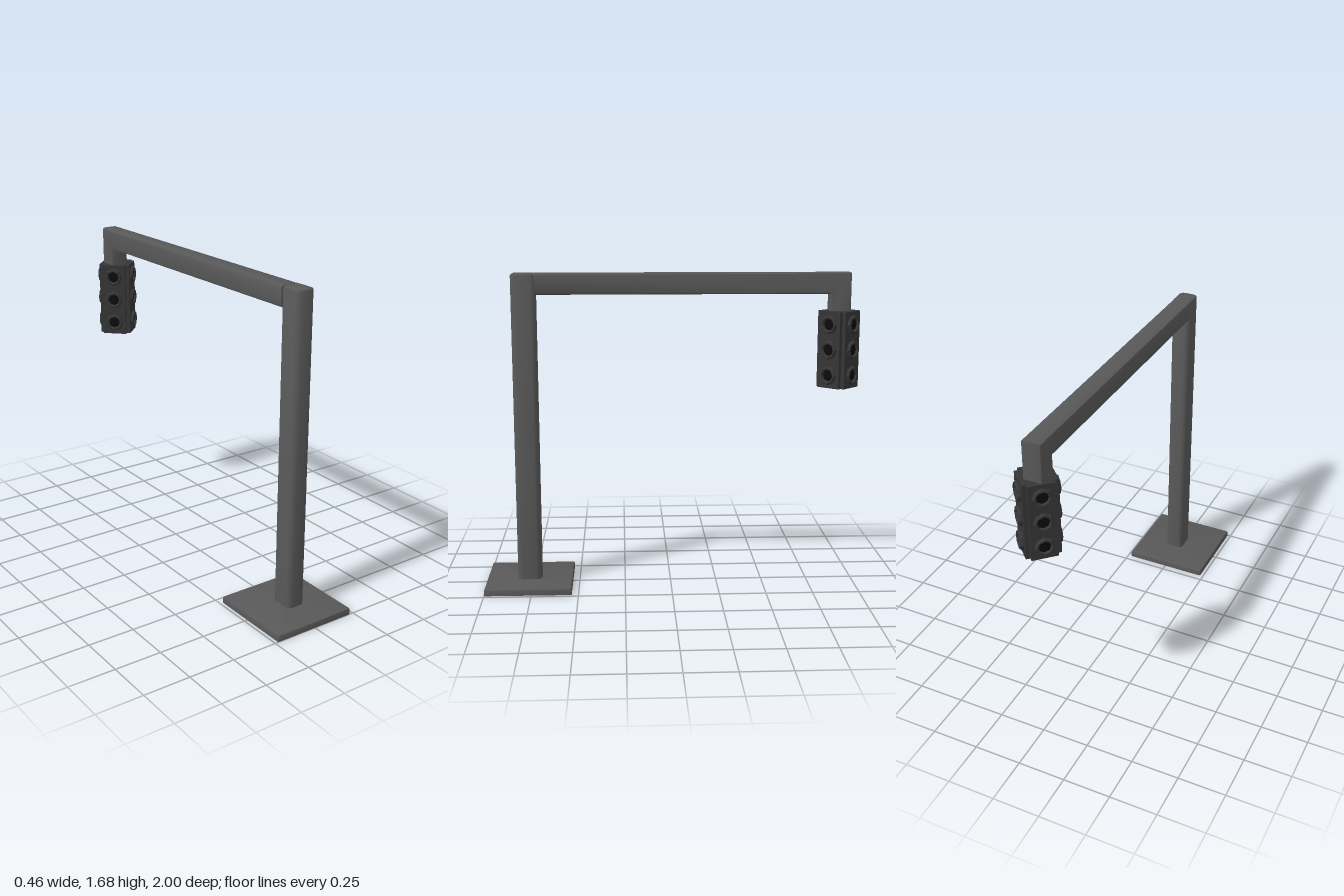
import * as THREE from 'three';
import { toCreasedNormals } from 'three/addons/utils/BufferGeometryUtils.js';

const POLE_X = 0.018;
const paint = (color) => new THREE.MeshStandardMaterial({ color });
const steel = paint(0x585858), housing = paint(0x363636), glass = paint(0x0b0b0b);

// Counter-clockwise rectangle outline with rounded corners
function roundRect(hw, hh, r, steps = 3) {
  const pts = [];
  [[1, 1], [-1, 1], [-1, -1], [1, -1]].forEach(([sx, sy], c) => {
    for (let i = 0; i <= steps; i++) {
      const t = (c + i / steps) * Math.PI / 2;
      pts.push([sx * (hw - r) + r * Math.cos(t), sy * (hh - r) + r * Math.sin(t)]);
    }
  });
  return pts;
}

// Closed solid through a list of matching rings
function loft(rings) {
  const n = rings[0].length, pos = [], idx = [];
  rings.forEach((ring) => ring.forEach((p) => pos.push(...p)));
  for (let k = 0; k < rings.length - 1; k++) {
    for (let i = 0; i < n; i++) {
      const j = (i + 1) % n, a = k * n, b = a + n;
      idx.push(a + i, a + j, b + j, a + i, b + j, b + i);
    }
  }
  const top = (rings.length - 1) * n;
  for (let i = 1; i < n - 1; i++) {
    idx.push(0, i + 1, i, top, top + i, top + i + 1);
  }
  const g = new THREE.BufferGeometry();
  g.setAttribute('position', new THREE.Float32BufferAttribute(pos, 3));
  g.setIndex(idx);
  return toCreasedNormals(g, 0.6);
}

// Upright bar with a softened top edge
function upright(hw, hd, r, y0, y1, bevel) {
  const ring = (inset, y) =>
    roundRect(hw - inset, hd - inset, Math.max(r - inset, 0.004)).map(([u, v]) => [u, y, -v]);
  return loft([ring(0, y0), ring(0, y1 - bevel), ring(bevel * 0.3, y1 - bevel * 0.3), ring(bevel, y1)]);
}

function add(parent, name, geometry, material, x = 0, y = 0, z = 0) {
  const mesh = new THREE.Mesh(geometry, material);
  mesh.name = name;
  mesh.position.set(x, y, z);
  parent.add(mesh);
  return mesh;
}

// Signal head: stepped cross-shaped body with three lamps on each of four faces
function createSignalHead() {
  const head = new THREE.Group();
  head.name = 'signalHead';
  const a = 0.087, b = 0.066, height = 0.405;
  const outline = [[a, -b], [a, b], [b, b], [b, a], [-b, a], [-b, b],
    [-a, b], [-a, -b], [-b, -b], [-b, -a], [b, -a], [b, -b]];
  const body = new THREE.ExtrudeGeometry(
    new THREE.Shape(outline.map(([x, y]) => new THREE.Vector2(x, y))),
    { depth: height, bevelEnabled: false });
  body.rotateX(-Math.PI / 2);
  add(head, 'signalBody', body, housing);

  // Octagonal lamp rim, with its axis turned to face outward
  const profile = [[0.05, -0.002], [0.05, 0.006], [0.044, 0.015], [0.036, 0.015], [0.03, 0.002]];
  const rim = toCreasedNormals(
    new THREE.LatheGeometry(profile.map(([x, y]) => new THREE.Vector2(x, y)), 8).rotateX(Math.PI / 2), 0.5);
  const lens = new THREE.CircleGeometry(0.033, 8);

  for (let f = 0; f < 4; f++) {
    const face = new THREE.Group();
    face.name = 'lampFace';
    face.rotation.y = f * Math.PI / 2;
    for (const y of [0.068, 0.203, 0.337]) {
      add(face, 'lampRim', rim, housing, 0, y, a);
      add(face, 'lampLens', lens, glass, 0, y, a + 0.003);
    }
    head.add(face);
  }
  head.rotation.y = Math.PI / 4;
  return head;
}

export function createModel() {
  const model = new THREE.Group();
  model.name = 'trafficLight';

  // Base plate and post
  add(model, 'basePlate', upright(0.232, 0.232, 0.008, 0, 0.035, 0.01), steel, 0, 0, 0.768);
  add(model, 'post', upright(0.052, 0.065, 0.028, 0.03, 1.685, 0.012), steel, POLE_X, 0, 0.768);

  // Horizontal arm, mitred into the short drop that carries the signal
  const section = roundRect(0.052, 0.055, 0.016, 2);
  const armY = 1.63, dropZ = -0.892;
  add(model, 'arm', loft([
    section.map(([u, v]) => [-u, armY + v, 0.71]),
    section.map(([u, v]) => [-u, armY + v, dropZ - v]),
    section.map(([u, v]) => [-u, 1.47, dropZ - v]),
  ]), steel, POLE_X);

  const head = createSignalHead();
  head.position.set(0.028, 1.08, -0.891);
  model.add(head);
  return model;
}
